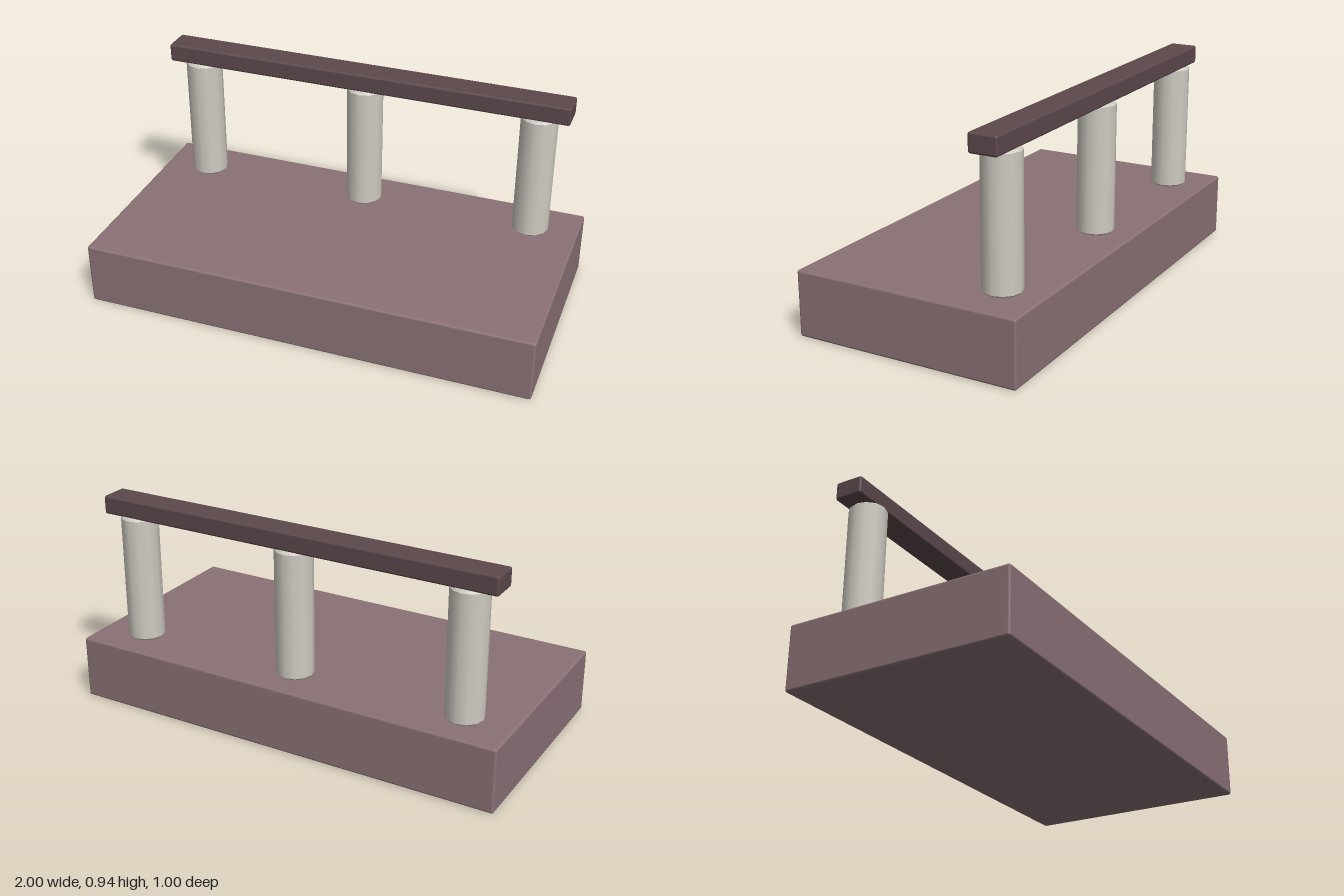
import * as THREE from 'three';
import { RoundedBoxGeometry } from 'three/addons/geometries/RoundedBoxGeometry.js';

function material(name, color) {
  const m = new THREE.MeshStandardMaterial({ color });
  m.name = name;
  return m;
}

export function createModel() {
  const model = new THREE.Group();
  model.name = 'railedPlatform';
  const mauve = material('mauve', 0x8b7276);
  const darkPlum = material('darkPlum', 0x5c484c);
  const stone = material('paleStone', 0xd0ccc3);
  const railZ = -0.321;

  const add = (name, geometry, mat, x, y, z) => {
    const mesh = new THREE.Mesh(geometry, mat);
    mesh.name = name;
    mesh.position.set(x, y, z);
    model.add(mesh);
  };

  // Platform slab, with softly bevelled edges
  add('platform', new RoundedBoxGeometry(2, 0.285, 1, 2, 0.01), mauve, 0, 0.1425, 0);

  // Three upright posts with small chamfers at both ends
  const r = 0.082, h = 0.572, c = 0.009;
  const profile = [[0, 0], [r - c, 0], [r - c, 0], [r, c], [r, c], [r, h - c], [r, h - c], [r - c, h], [r - c, h], [0, h]]
    .map(([x, y]) => new THREE.Vector2(x, y));
  const postGeometry = new THREE.LatheGeometry(profile, 12);
  [['rightPost', -0.786], ['middlePost', 0], ['leftPost', 0.786]].forEach(([name, x]) =>
    add(name, postGeometry, stone, x, 0.285, railZ));

  // Top rail
  add('topRail', new RoundedBoxGeometry(1.852, 0.082, 0.126, 2, 0.01), darkPlum, 0, 0.895, railZ);

  return model;
}
